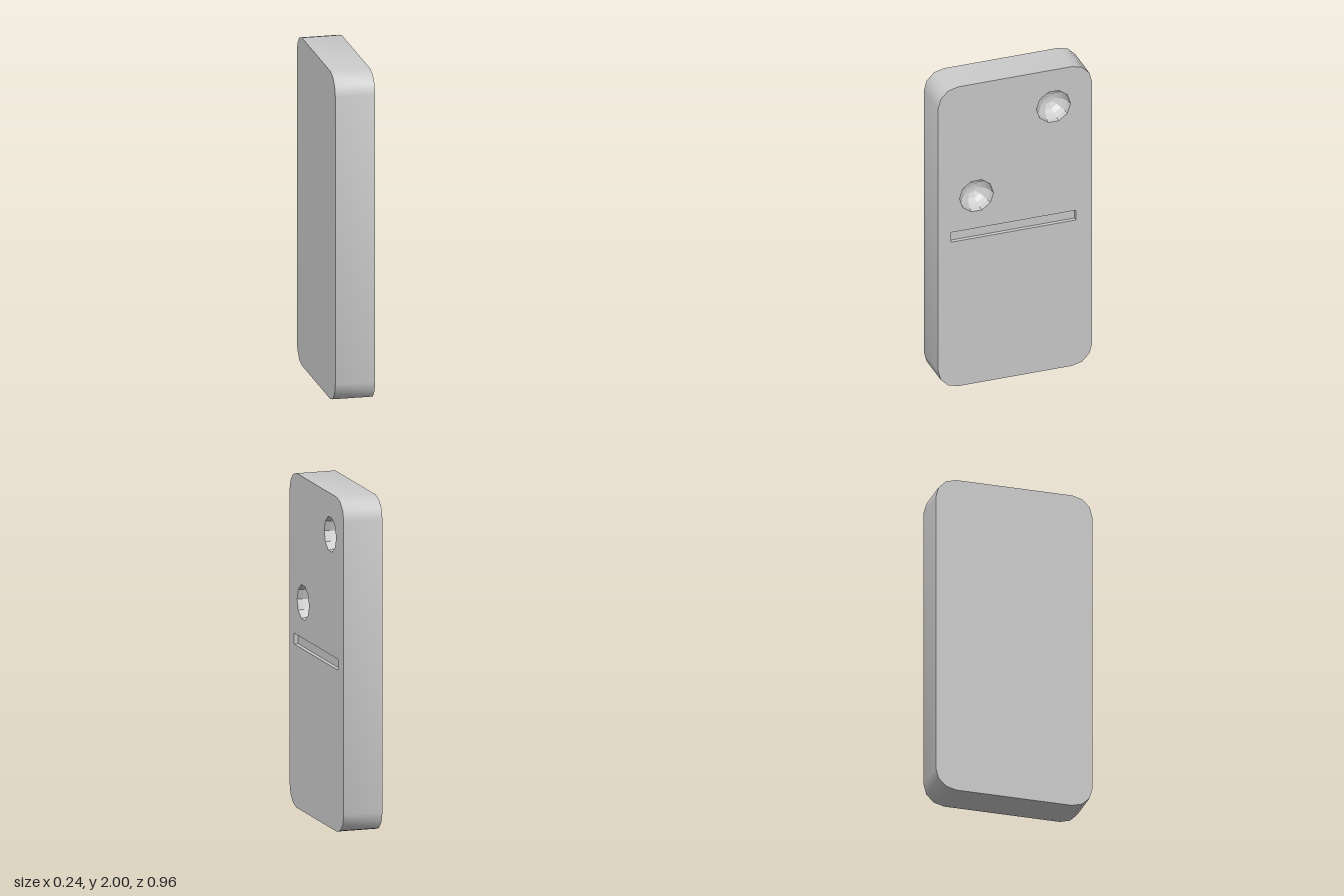
import * as THREE from 'three';
import { toCreasedNormals } from 'three/addons/utils/BufferGeometryUtils.js';

const H = 2, W = 0.96, HALF_T = 0.12;   // tile height, width, half thickness
const CORNER_R = 0.125, PIP_R = 0.106, SLOT_DEPTH = 0.025;
const PIPS = [[0.24, 1.755], [-0.24, 1.25]];
const SLOT = { left: -0.4, right: 0.38, bottom: 0.97, top: 1.035 };

const polar = (cx, cy, r, a) => new THREE.Vector2(cx + r * Math.cos(a), cy + r * Math.sin(a));

// Counter-clockwise outline with three facets per corner
function tileOutline() {
  const pts = [];
  const cx = W / 2 - CORNER_R, lo = CORNER_R, hi = H - CORNER_R;
  [[cx, hi], [-cx, hi], [-cx, lo], [cx, lo]].forEach(([x, y], q) => {
    for (let i = 0; i <= 3; i++) pts.push(polar(x, y, CORNER_R, (q + i / 3) * Math.PI / 2));
  });
  return pts;
}

// Band of quads along a closed loop; faces outward for a counter-clockwise loop
function wall(loop, z0, z1) {
  const pos = [];
  loop.forEach((a, i) => {
    const b = loop[(i + 1) % loop.length];
    pos.push(a.x, a.y, z0, b.x, b.y, z0, b.x, b.y, z1);
    pos.push(a.x, a.y, z0, b.x, b.y, z1, a.x, a.y, z1);
  });
  const g = new THREE.BufferGeometry();
  g.setAttribute('position', new THREE.Float32BufferAttribute(pos, 3));
  return toCreasedNormals(g, 0.7);
}

export function createModel() {
  const grey = new THREE.MeshStandardMaterial({ color: 0xcccccc });
  const faceted = new THREE.MeshStandardMaterial({ color: 0xcccccc, flatShading: true });
  const tile = new THREE.Group();
  const add = (name, geometry, material = grey) => {
    const mesh = new THREE.Mesh(geometry, material);
    mesh.name = name;
    tile.add(mesh);
    return mesh;
  };

  const outline = tileOutline();
  const slotLoop = [
    new THREE.Vector2(SLOT.left, SLOT.bottom), new THREE.Vector2(SLOT.right, SLOT.bottom),
    new THREE.Vector2(SLOT.right, SLOT.top), new THREE.Vector2(SLOT.left, SLOT.top),
  ];

  // Marked face, pierced for the pips and the dividing groove
  const face = new THREE.Shape(outline);
  face.holes.push(new THREE.Path(slotLoop));
  for (const [x, y] of PIPS) {
    const ring = Array.from({ length: 10 }, (_, i) => polar(x, y, PIP_R, i * Math.PI / 5));
    face.holes.push(new THREE.Path(ring));
  }
  add('markedFace', new THREE.ShapeGeometry(face).translate(0, 0, HALF_T));

  // Plain back and rounded rim
  add('backFace', new THREE.ShapeGeometry(new THREE.Shape(outline)).rotateY(Math.PI).translate(0, 0, -HALF_T));
  add('rim', wall(outline, -HALF_T, HALF_T));

  // Dividing groove
  const slotFloor = HALF_T - SLOT_DEPTH;
  add('grooveWalls', wall([...slotLoop].reverse(), slotFloor, HALF_T));
  add('grooveFloor', new THREE.ShapeGeometry(new THREE.Shape(slotLoop)).translate(0, 0, slotFloor));

  // Hollow pips: hemispheres mirrored so they face inward
  for (const [x, y] of PIPS) {
    const bowl = new THREE.SphereGeometry(PIP_R, 10, 5, 0, Math.PI * 2, 0, Math.PI / 2)
      .rotateX(Math.PI / 2).scale(1, 1, -1).toNonIndexed();
    bowl.computeVertexNormals();
    add('pip', bowl, faceted).position.set(x, y, HALF_T);
  }

  // Turn the marked face towards +x
  tile.name = 'tile';
  tile.rotation.y = Math.PI / 2;
  const model = new THREE.Group();
  model.name = 'dominoTile';
  model.add(tile);
  return model;
}
